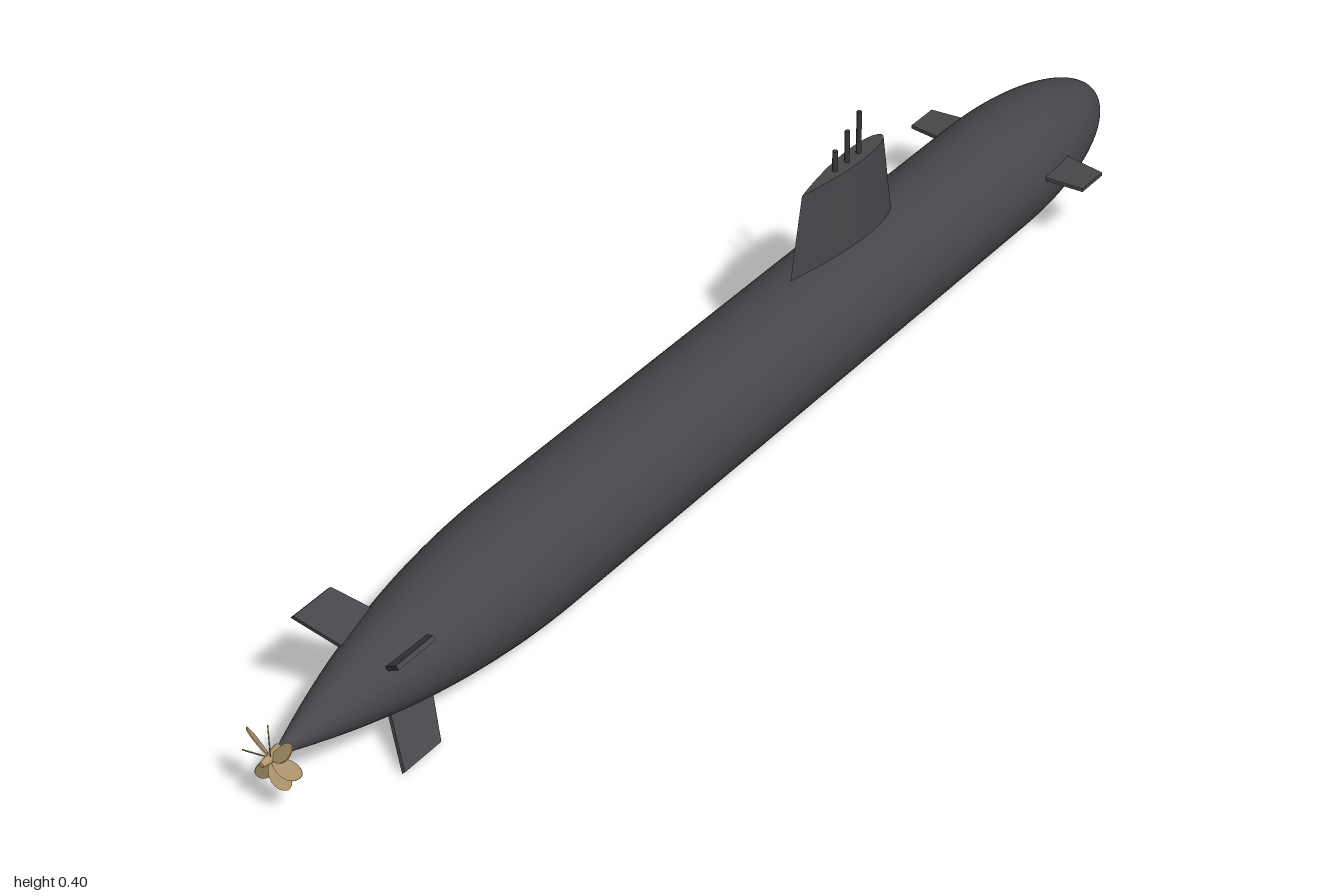
import * as THREE from 'three';
import { toCreasedNormals } from 'three/addons/utils/BufferGeometryUtils.js';

const R = 0.0967;        // hull radius
const AXIS = 0.0972;     // height of the hull axis

export function createModel() {
  const model = new THREE.Group();
  const paint = (name, color) => {
    const m = new THREE.MeshStandardMaterial({ color });
    m.name = name;
    return m;
  };
  const hullGrey = paint('hullGrey', 0x47474b);
  const mastGrey = paint('mastGrey', 0x38383c);
  const bronze = paint('bronze', 0xb39a6e);

  const add = (name, geometry, material, parent = model) => {
    const mesh = new THREE.Mesh(geometry, material);
    mesh.name = name;
    parent.add(mesh);
    return mesh;
  };

  // Hull: tapered stern, parallel middle, elliptical bow
  const profile = [new THREE.Vector2(0, -0.968)];
  for (let i = 0; i <= 20; i++) {
    const x = -0.968 + (0.518 * i) / 20;
    profile.push(new THREE.Vector2(R * (1 - ((x + 0.45) / 0.53) ** 2), x));
  }
  for (let i = 0; i <= 20; i++) {
    const a = (i / 20) * Math.PI / 2;
    profile.push(new THREE.Vector2(R * Math.cos(a), 0.7 + 0.3 * Math.sin(a)));
  }
  const hull = add('hull', new THREE.LatheGeometry(profile, 64).rotateZ(-Math.PI / 2), hullGrey);
  hull.position.y = AXIS;

  // Sail: teardrop section, narrowing towards the flat top
  const foil = [];
  const steps = 20;
  const halfWidth = (u) => 2.6 * Math.sqrt(u) * (1 - u) ** 1.0; // u = 0 leading, 1 trailing
  for (let i = 0; i <= steps; i++) {
    const u = (1 - Math.cos((Math.PI * i) / steps)) / 2;
    foil.push(new THREE.Vector2(1 - u, halfWidth(u)));
  }
  for (let i = steps - 1; i > 0; i--) foil.push(new THREE.Vector2(foil[i].x, -foil[i].y));
  const sailGeometry = new THREE.ExtrudeGeometry(new THREE.Shape(foil), { depth: 1, bevelEnabled: false });
  sailGeometry.rotateX(-Math.PI / 2);
  const p = sailGeometry.attributes.position;
  const mix = THREE.MathUtils.lerp;
  for (let i = 0; i < p.count; i++) {
    const t = p.getY(i);
    p.setXYZ(i,
      mix(mix(0.168, 0.197, t), mix(0.427, 0.402, t), p.getX(i)),
      mix(0.183, 0.327, t),
      p.getZ(i) * mix(0.021, 0.0165, t));
  }
  add('sail', toCreasedNormals(sailGeometry, 0.7), hullGrey);

  // Masts, rising towards the bow
  [[0.28, 0.361], [0.311, 0.379], [0.341, 0.397]].forEach(([x, top]) => {
    const mast = add('mast', new THREE.CylinderGeometry(0.004, 0.004, top - 0.31, 12), mastGrey);
    mast.position.set(x, (top + 0.31) / 2, 0);
  });

  // Flat plate drawn as (x, distance from axis), turned about the hull axis
  const plate = (corners, thickness, angle) => {
    const shape = new THREE.Shape(corners.map(([x, r]) => new THREE.Vector2(x, r)));
    return new THREE.ExtrudeGeometry(shape, { depth: thickness, bevelEnabled: false })
      .translate(0, 0, -thickness / 2).rotateX(angle);
  };

  // Bow planes
  for (const side of [1, -1]) {
    const corners = [[0.718, 0.05], [0.8, 0.05], [0.785, 0.157], [0.728, 0.157]];
    add('bowPlane', plate(corners, 0.006, side * Math.PI / 2), hullGrey).position.y = 0.117;
  }

  // Four stern fins in an X
  for (let i = 0; i < 4; i++) {
    const corners = [[-0.785, 0.035], [-0.7, 0.035], [-0.755, 0.125], [-0.83, 0.125]];
    add('sternFin', plate(corners, 0.007, Math.PI / 4 + i * Math.PI / 2), hullGrey).position.y = AXIS;
  }

  // Propeller: hub and seven pitched, skewed blades
  const propeller = new THREE.Group();
  propeller.name = 'propeller';
  propeller.position.set(-0.982, AXIS, 0);
  model.add(propeller);
  add('propellerHub', new THREE.CylinderGeometry(0.01, 0.004, 0.036, 20).rotateZ(-Math.PI / 2), bronze, propeller);
  const outline = new THREE.Shape();
  outline.moveTo(-0.004, 0.004);
  outline.bezierCurveTo(-0.017, 0.022, -0.014, 0.047, 0.004, 0.05);
  outline.bezierCurveTo(0.018, 0.046, 0.014, 0.02, 0.004, 0.004);
  const bladeGeometry = new THREE.ExtrudeGeometry(outline, { depth: 0.0015, bevelEnabled: false, curveSegments: 10 });
  bladeGeometry.translate(0, 0, -0.00075).rotateY(Math.PI / 4);
  for (let i = 0; i < 7; i++) {
    add('propellerBlade', bladeGeometry, bronze, propeller).rotation.x = (i / 7) * Math.PI * 2;
  }

  return model;
}
